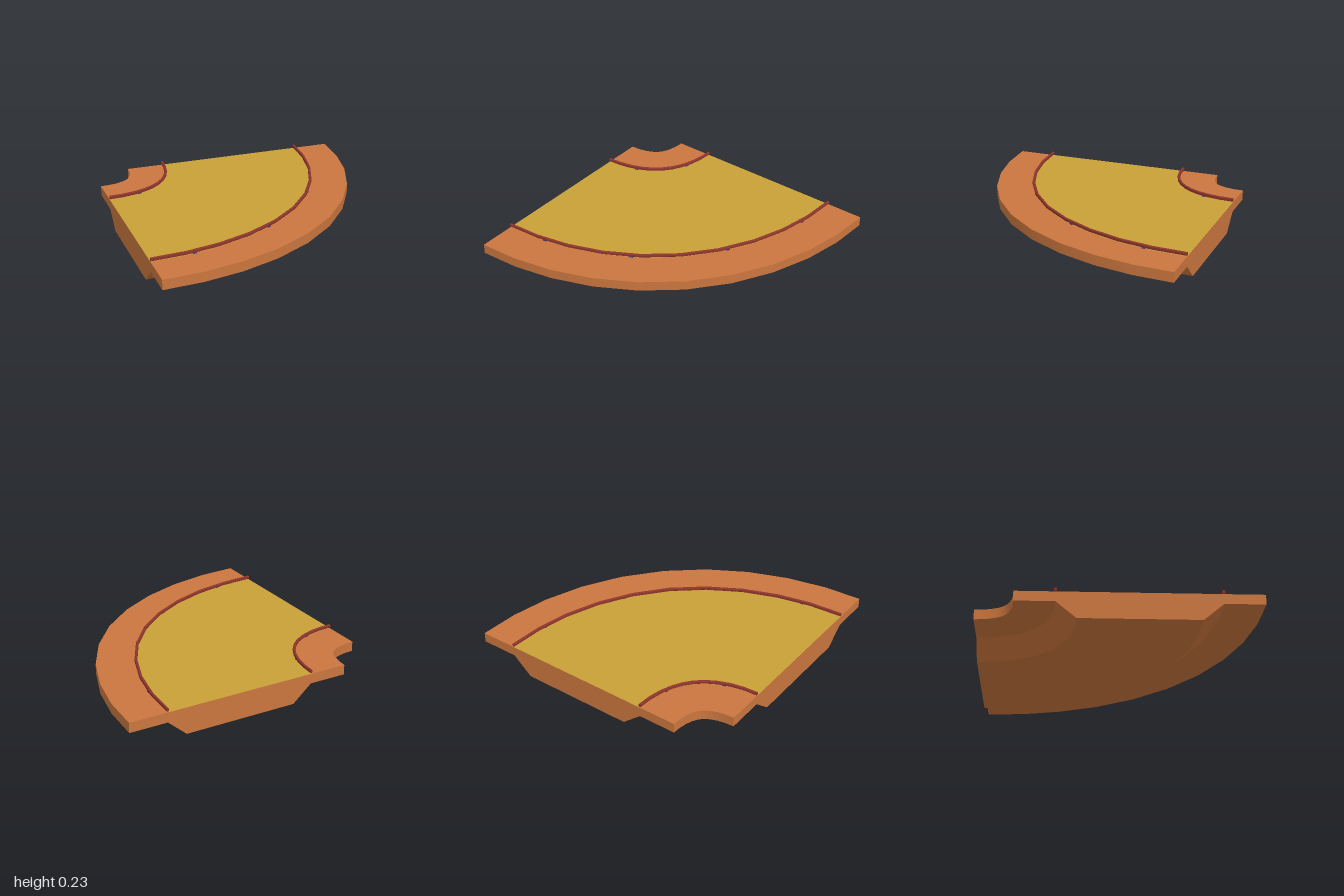
import * as THREE from 'three';
import { toCreasedNormals } from 'three/addons/utils/BufferGeometryUtils.js';

const MID = 8 / 7;      // radius of the centre line
const BULGE = 0.023;    // the curve swells slightly at the diagonal
const SEGMENTS = 10;

// Centre line point and outward normal of the quarter bend, t = 0..1
function bend(t) {
  const a = t * Math.PI / 2;
  const r = MID + BULGE * Math.sin(2 * a) ** 2;
  const tilt = Math.atan(2 * BULGE * Math.sin(4 * a) / r);
  return { x: r * Math.cos(a), z: r * Math.sin(a), n: a - tilt };
}

// Position at a given nominal radius, height and place along the bend
function place(radius, y, t) {
  const { x, z, n } = bend(t);
  const d = radius - MID;
  return [x + d * Math.cos(n) - 1, y, z + d * Math.sin(n) - 1];
}

// Sweeps a clockwise [radius, y] section along the bend; capped unless it is a strip
function sweep(section, { closed = true, caps = true } = {}) {
  const count = section.length;
  const positions = [], indices = [];
  for (let i = 0; i <= SEGMENTS; i++) {
    for (const [r, y] of section) positions.push(...place(r, y, i / SEGMENTS));
  }
  for (let i = 0; i < SEGMENTS; i++) {
    for (let j = 0; j < (closed ? count : count - 1); j++) {
      const k = (j + 1) % count;
      const a = i * count + j, b = i * count + k;
      indices.push(a, a + count, b, b, a + count, b + count);
    }
  }
  if (caps) {
    const points = section.map(([r, y]) => new THREE.Vector2(r, y));
    const end = SEGMENTS * count;
    for (let [a, b, c] of THREE.ShapeUtils.triangulateShape(points, [])) {
      if (THREE.ShapeUtils.area([points[a], points[b], points[c]]) > 0) [b, c] = [c, b];
      indices.push(a, b, c, end + a, end + c, end + b);
    }
  }
  const geometry = new THREE.BufferGeometry();
  geometry.setAttribute('position', new THREE.Float32BufferAttribute(positions, 3));
  geometry.setIndex(indices);
  return toCreasedNormals(geometry, Math.PI / 6);
}

export function createModel() {
  const model = new THREE.Group();
  model.name = 'curvedPathSection';
  const orange = new THREE.MeshStandardMaterial({ color: 0xcb763e });
  const yellow = new THREE.MeshStandardMaterial({ color: 0xc9a036, side: THREE.DoubleSide });
  const red = new THREE.MeshStandardMaterial({ color: 0x8c342c });
  const blue = new THREE.MeshStandardMaterial({ color: 0x46407c });

  const add = (name, geometry, material, parent = model) => {
    const mesh = new THREE.Mesh(geometry, material);
    mesh.name = name;
    parent.add(mesh);
    return mesh;
  };

  // Deck with overhanging borders and a tapered base; open on top for the floor
  add('deckAndBase', sweep([
    [1.714, 0.2], [2, 0.2], [2, 0.125], [1.714, 0.125], [1.571, 0],
    [0.714, 0], [0.571, 0.125], [0.286, 0.125], [0.286, 0.2], [0.571, 0.2],
  ], { closed: false }), orange);

  // Floor between the rails
  add('floor', sweep([[0.571, 0.2], [1.714, 0.2]], { closed: false, caps: false }), yellow);

  // Low chamfered rails carried by small supports
  const addRail = (name, radius, supports) => {
    const rail = new THREE.Group();
    rail.name = name;
    model.add(rail);
    const w = 0.01, c = 0.005, low = 0.206, high = 0.23;
    add(name + 'Bar', sweep([
      [radius - w + c, high], [radius + w - c, high], [radius + w, high - c], [radius + w, low + c],
      [radius + w - c, low], [radius - w + c, low], [radius - w, low + c], [radius - w, high - c],
    ]), red, rail);
    for (let i = 0; i < supports; i++) {
      const t = (i + 0.5) / supports;
      const support = add(name + 'Support', new THREE.BoxGeometry(0.012, 0.014, 0.026), blue, rail);
      support.position.set(...place(radius, 0.204, t));
      support.rotation.y = -bend(t).n;
    }
  };
  addRail('innerRail', 0.571, 2);
  addRail('outerRail', 1.714, 4);

  return model;
}
